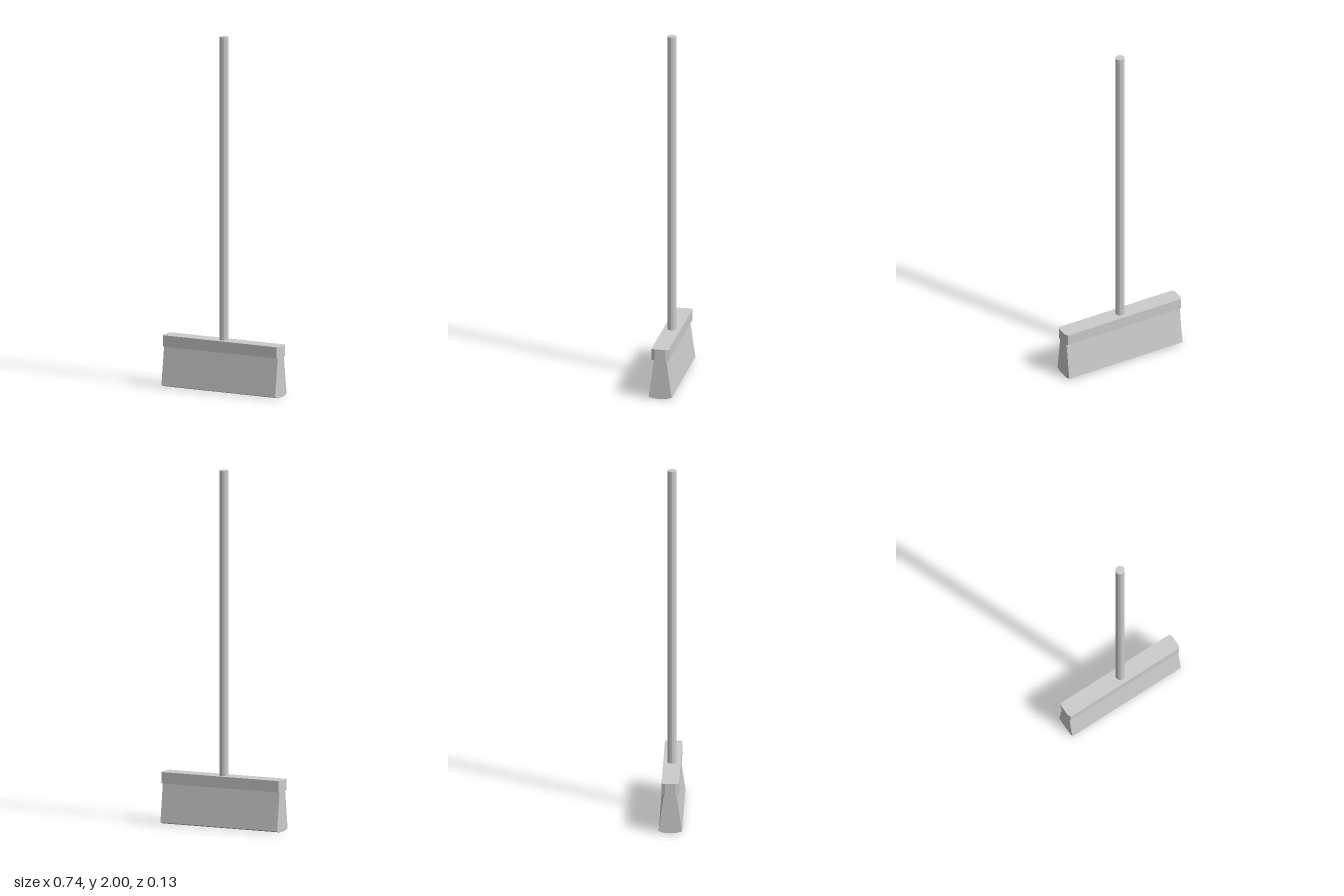
import * as THREE from 'three';

const material = new THREE.MeshStandardMaterial({ color: 0xcccccc, flatShading: true });

function part(name, geometry) {
  const mesh = new THREE.Mesh(geometry, material);
  mesh.name = name;
  return mesh;
}

// Extrudes an outline along z, centred on z = 0
function prism(points, depth) {
  const shape = new THREE.Shape(points.map(([x, y]) => new THREE.Vector2(x, y)));
  return new THREE.ExtrudeGeometry(shape, { depth, bevelEnabled: false }).translate(0, 0, -depth / 2);
}

export function createModel() {
  const group = new THREE.Group();
  group.name = 'broom';

  // Round pole, its foot set slightly into the head
  const handle = new THREE.CylinderGeometry(0.026, 0.026, 1.73, 12);
  group.add(part('handle', handle.translate(0, 1.135, 0)));

  // Head block with chamfered ends, drawn in plan and raised
  const head = prism([
    [-0.362, -0.049], [0.362, -0.049], [0.37, -0.03], [0.37, 0.03],
    [0.362, 0.049], [-0.362, 0.049], [-0.37, 0.03], [-0.37, -0.03],
  ], 0.064);
  group.add(part('head', head.rotateX(-Math.PI / 2).translate(0, 0.258, 0)));

  // Flared bristle block with a slightly rounded underside
  const bristles = prism([
    [-0.033, 0], [0.033, 0], [0.065, 0.01], [0.034, 0.23], [-0.034, 0.23], [-0.065, 0.01],
  ], 0.724);
  group.add(part('bristles', bristles.rotateY(Math.PI / 2)));

  return group;
}
